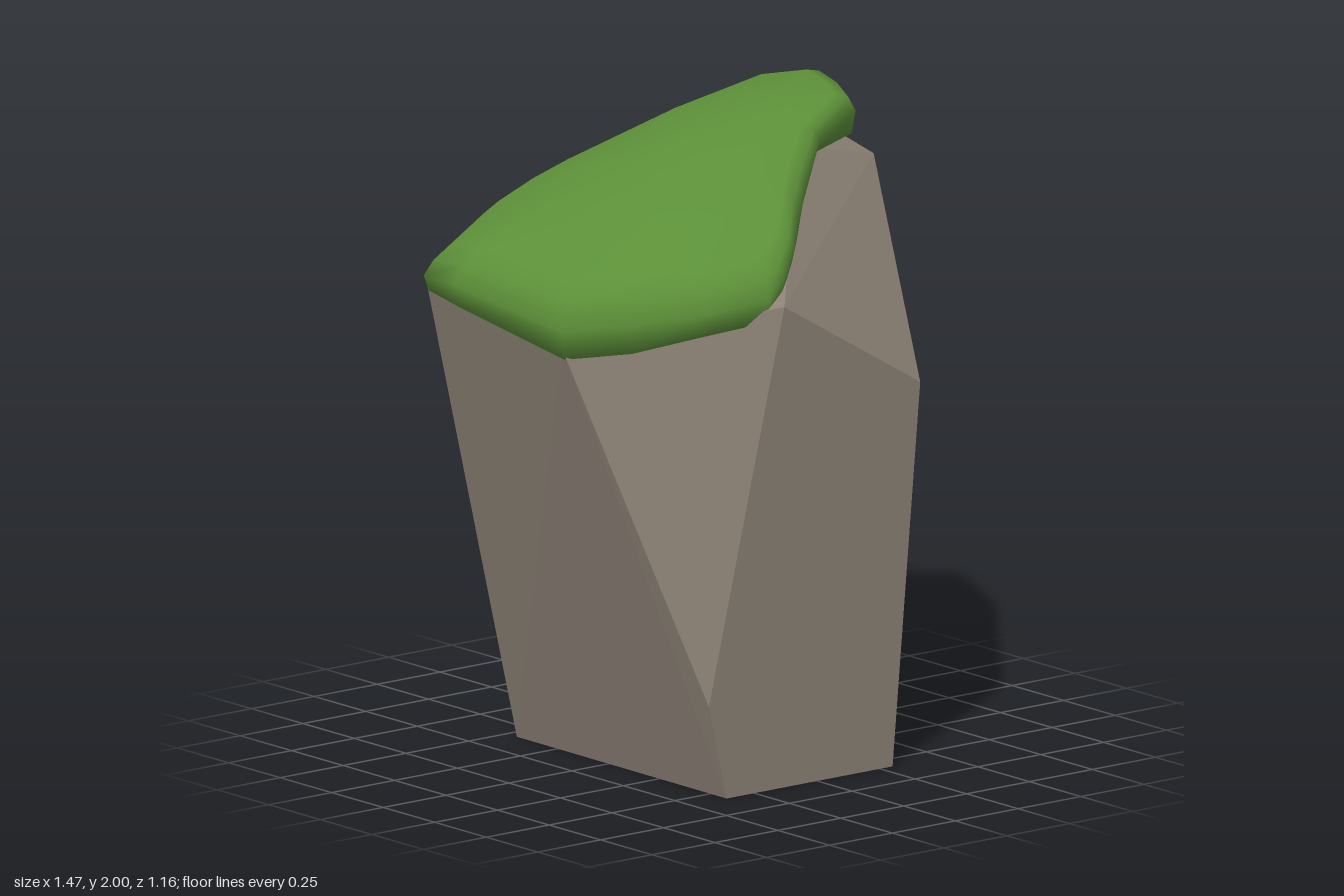
import * as THREE from 'three';
import { ConvexGeometry } from 'three/addons/geometries/ConvexGeometry.js';

const rockMaterial = new THREE.MeshStandardMaterial({ color: 0x8a8074 });
rockMaterial.name = 'warm grey stone';
const mossMaterial = new THREE.MeshStandardMaterial({ color: 0x5c8f38, side: THREE.DoubleSide });
mossMaterial.name = 'moss green';

// Faceted boulder: the hull of its corner points
function makeRock() {
  const corners = [
    // base
    [-0.36, 0, 0.58], [0.3, 0, 0.58], [0.54, 0, -0.03], [0.36, 0, -0.52], [-0.35, 0, -0.45],
    // bulges along the sides
    [-0.43, 0.3, 0.58], [0.59, 0.35, -0.04], [0.41, 1.2, 0.58], [0.56, 1.13, -0.565],
    // shoulders and sloping top
    [-0.13, 1.52, 0.58], [0.7, 1.77, 0], [0.61, 1.6, -0.585], [0.66, 1.87, -0.37],
    [-0.22, 1.71, -0.5], [-0.71, 1.5, -0.45], [-0.7, 1.4, 0.2], [0.35, 1.86, 0.06],
  ];
  const geometry = new ConvexGeometry(corners.map((p) => new THREE.Vector3(...p)));
  const rock = new THREE.Mesh(geometry, rockMaterial);
  rock.name = 'rock';
  return rock;
}

// Height of the domed moss surface
const mossHeight = (x, z) => 1.885 + 0.28 * x - 0.15 * x * x - 0.45 * (z + 0.15) ** 2;

// Moss cap: its ragged outline swept inward in rings
function makeMoss() {
  // x, height of the hanging edge, z
  const rim = [
    [-0.17, 1.47, 0.555], [-0.09, 1.54, 0.53], [0, 1.62, 0.47], [0.1, 1.65, 0.37],
    [0.2, 1.74, 0.28], [0.38, 1.85, 0.13], [0.62, 1.85, 0.01], [0.68, 1.84, -0.12],
    [0.73, 1.87, -0.27], [0.64, 1.88, -0.41], [0.26, 1.86, -0.42], [-0.17, 1.73, -0.49],
    [-0.3, 1.63, -0.52], [-0.45, 1.56, -0.525], [-0.72, 1.47, -0.45], [-0.735, 1.45, -0.28],
    [-0.71, 1.37, 0.21], [-0.55, 1.39, 0.35], [-0.37, 1.44, 0.48],
  ];
  const cx = -0.05, cz = -0.08;
  // outline scale, blend from hanging edge (0) to domed surface (1)
  const rings = [[0.86, 0], [0.98, 0], [1, 0.5], [0.96, 0.85], [0.88, 1], [0.6, 1], [0.3, 1]];
  const positions = [], index = [], n = rim.length;
  for (const [scale, blend] of rings) {
    for (const [rx, low, rz] of rim) {
      const x = cx + (rx - cx) * scale, z = cz + (rz - cz) * scale;
      positions.push(x, THREE.MathUtils.lerp(low, mossHeight(x, z), blend), z);
    }
  }
  positions.push(cx, mossHeight(cx, cz), cz);
  const last = rings.length - 1, centre = rings.length * n;
  for (let i = 0; i < n; i++) {
    const k = (i + 1) % n;
    for (let r = 0; r < last; r++) {
      const a = r * n + i, b = r * n + k;
      index.push(a, b, b + n, a, b + n, a + n);
    }
    index.push(last * n + i, last * n + k, centre);
  }
  const geometry = new THREE.BufferGeometry();
  geometry.setAttribute('position', new THREE.Float32BufferAttribute(positions, 3));
  geometry.setIndex(index);
  geometry.computeVertexNormals();
  const moss = new THREE.Mesh(geometry, mossMaterial);
  moss.name = 'mossCap';
  return moss;
}

export function createModel() {
  const model = new THREE.Group();
  model.name = 'mossyRock';
  model.add(makeRock(), makeMoss());
  return model;
}
